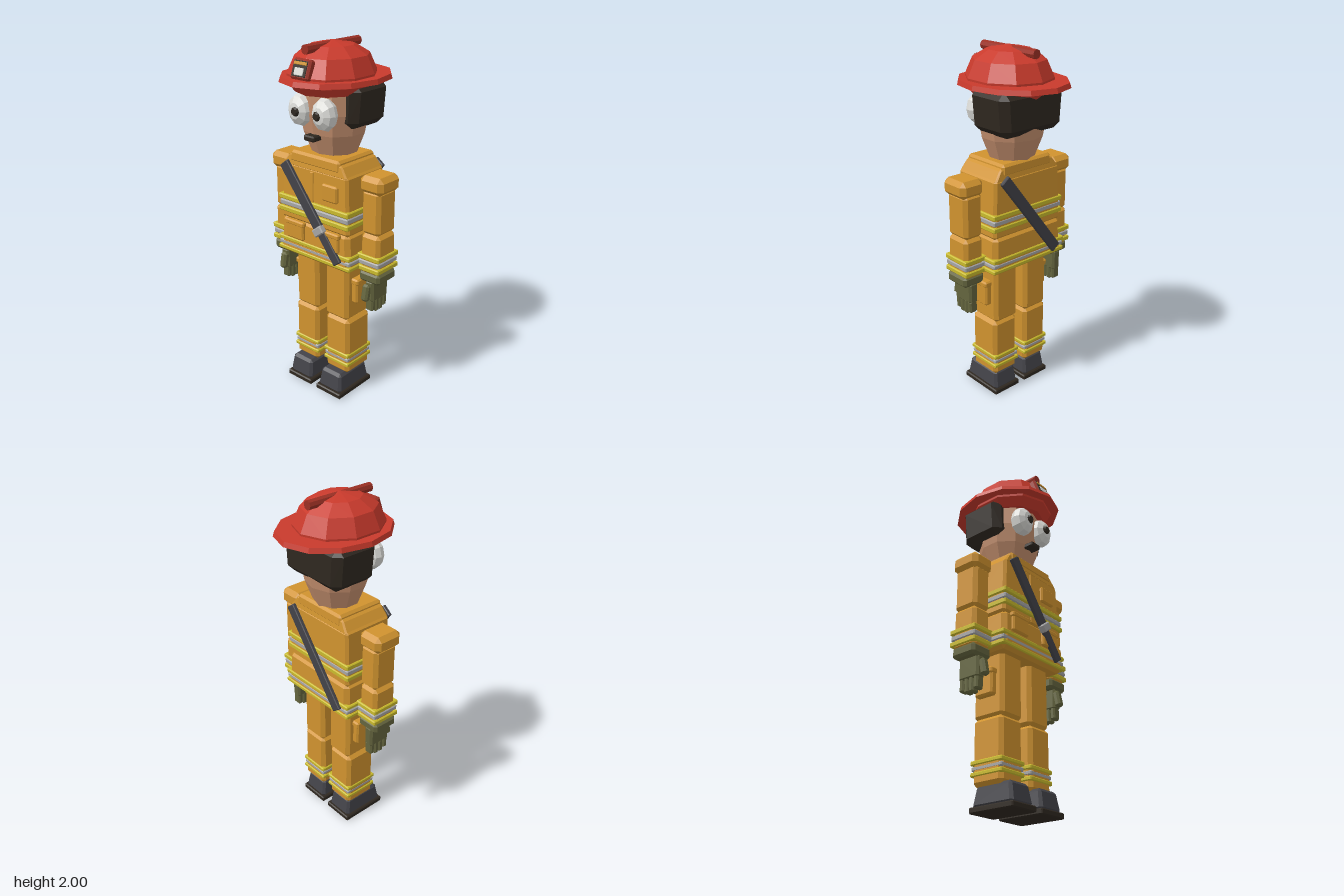
import * as THREE from 'three';
import { ConvexGeometry } from 'three/addons/geometries/ConvexGeometry.js';

const mat = (name, color) => {
  const m = new THREE.MeshStandardMaterial({ color });
  m.name = name;
  return m;
};

export function createModel() {
  const red = mat('helmet red', 0xc93a2c), darkRed = mat('dark red', 0x9c3024);
  const coat = mat('coat orange', 0xd0932f), yellow = mat('reflective yellow', 0xc9ba2c);
  const silver = mat('silver', 0xa6a6a6), glove = mat('glove green', 0x64653e);
  const slate = mat('slate', 0x434349), dark = mat('dark brown', 0x2f2820);
  const skin = mat('skin', 0xc48f6e), white = mat('eye white', 0xdcdcd8);

  const root = new THREE.Group();
  root.name = 'firefighter';

  const add = (name, geo, material, parent = root) => {
    const m = new THREE.Mesh(geo, material);
    m.name = name;
    parent.add(m);
    return m;
  };
  // Faceted normals stored in the geometry
  const flat = (geo) => {
    const g = geo.index ? geo.toNonIndexed() : geo;
    g.computeVertexNormals();
    return g;
  };
  // Chamfered box centred on the origin; tx and tz scale its top
  const chamferBox = (w, h, d, c, tx = 1, tz = 1) => {
    const pts = [];
    for (const x of [-1, 1]) for (const y of [-1, 1]) for (const z of [-1, 1]) {
      for (const [a, b, e] of [[0, c, c], [c, 0, c], [c, c, 0]]) {
        const py = y * (h / 2 - b), t = py / h + 0.5;
        pts.push(new THREE.Vector3(
          x * (w / 2 - a) * (1 + (tx - 1) * t), py, z * (d / 2 - e) * (1 + (tz - 1) * t)));
      }
    }
    return new ConvexGeometry(pts);
  };
  // Box from its bounds
  const box = (name, m, [x0, x1, y0, y1, z0, z1], c = 0.01, tx = 1, tz = 1, parent = root) => {
    const mesh = add(name, chamferBox(Math.abs(x1 - x0), y1 - y0, z1 - z0, c, tx, tz), m, parent);
    mesh.position.set((x0 + x1) / 2, (y0 + y1) / 2, (z0 + z1) / 2);
    return mesh;
  };
  // Yellow, silver, yellow bands around a part
  const bands = (name, x0, x1, y0, y1, z0, z1) => {
    const h = (y1 - y0) / 3;
    [yellow, silver, yellow].forEach((m, i) => {
      const k = i === 1 ? 0.004 : 0;
      box(name, m, [x0 + k, x1 - k, y0 + h * i + 0.003, y0 + h * (i + 1) - 0.003, z0 + k, z1 - k], 0.005);
    });
  };

  // Coat
  box('coatSkirt', coat, [-0.255, 0.255, 0.81, 1.035, -0.135, 0.195], 0.025, 0.95, 0.96);
  box('chest', coat, [-0.245, 0.245, 1.02, 1.35, -0.125, 0.187], 0.015, 0.94, 0.97);
  box('yoke', coat, [-0.232, 0.232, 1.33, 1.4, -0.12, 0.183], 0.01, 0.78, 0.92);
  box('collar', coat, [-0.178, 0.178, 1.355, 1.42, -0.118, 0.182], 0.013, 0.96, 0.97);
  box('frontFlap', coat, [-0.022, 0.002, 1.03, 1.33, 0.17, 0.19], 0.003);
  box('chestPocket', coat, [0.068, 0.175, 1.195, 1.288, 0.175, 0.2], 0.008);
  for (const s of [-1, 1]) {
    box('skirtPocket', coat, [s * 0.062, s * 0.19, 0.92, 1.015, 0.18, 0.208], 0.008);
    box('pocketFlap', coat, [s * 0.056, s * 0.196, 1.0, 1.03, 0.18, 0.212], 0.007);
  }
  bands('chestBand', -0.25, 0.25, 1.06, 1.165, -0.13, 0.2);
  bands('skirtBand', -0.262, 0.262, 0.825, 0.915, -0.14, 0.198);

  // Straps crossing the front and the back
  for (const [name, z, r] of [['frontStrap', 0.207, 0.66], ['backStrap', -0.145, -0.66]]) {
    const strap = new THREE.Group();
    strap.name = name;
    strap.position.set(0, 1.108, z);
    strap.rotation.z = r;
    root.add(strap);
    if (z > 0) {
      box('strapUpper', slate, [-0.033, 0.033, -0.12, 0.31, -0.011, 0.011], 0.004, 1, 1, strap);
      box('strapLower', slate, [-0.028, 0.028, -0.31, -0.11, -0.011, 0.009], 0.004, 1, 1, strap);
      box('buckle', silver, [-0.036, 0.036, -0.13, -0.085, -0.011, 0.026], 0.006, 1, 1, strap);
    } else {
      box('strapBand', slate, [-0.031, 0.031, -0.31, 0.31, -0.011, 0.011], 0.004, 1, 1, strap);
    }
  }

  for (const s of [-1, 1]) {
    // Arm
    box('shoulder', coat, [s * 0.247, s * 0.397, 1.26, 1.355, -0.058, 0.115], 0.025);
    box('upperArm', coat, [s * 0.258, s * 0.378, 1.03, 1.28, -0.05, 0.102], 0.02);
    box('forearm', coat, [s * 0.255, s * 0.383, 0.8, 1.035, -0.052, 0.106], 0.02, 0.96, 0.96);
    bands('sleeveBand', Math.min(s * 0.245, s * 0.392), Math.max(s * 0.245, s * 0.392), 0.82, 0.922, -0.06, 0.115);
    // Gloved hand
    box('gloveCuff', glove, [s * 0.252, s * 0.39, 0.755, 0.818, -0.047, 0.108], 0.015);
    box('palm', glove, [s * 0.289, s * 0.347, 0.64, 0.765, -0.036, 0.1], 0.012);
    for (let i = 0; i < 4; i++) {
      const z = -0.032 + i * 0.032, y = i % 3 ? 0.57 : 0.582;
      box('finger', glove, [s * 0.293, s * 0.343, y, 0.655, z, z + 0.031], 0.008);
    }
    const thumb = box('thumb', glove, [s * 0.288, s * 0.332, 0.65, 0.745, 0.09, 0.13], 0.011);
    thumb.rotation.x = -0.2;

    // Leg
    box('thigh', coat, [s * 0.027, s * 0.193, 0.475, 0.84, -0.07, 0.132], 0.02);
    box('shin', coat, [s * 0.03, s * 0.2, 0.13, 0.48, -0.066, 0.132], 0.02);
    box('legPocket', coat, [s * 0.185, s * 0.23, 0.585, 0.715, -0.03, 0.09], 0.01);
    box('legPocketFlap', coat, [s * 0.185, s * 0.236, 0.7, 0.735, -0.034, 0.094], 0.008);
    bands('legBand', Math.min(s * 0.023, s * 0.205), Math.max(s * 0.023, s * 0.205), 0.178, 0.266, -0.073, 0.137);
    // Boot
    box('boot', slate, [s * 0.028, s * 0.198, 0.025, 0.14, -0.07, 0.198], 0.016, 0.84, 0.84);
    box('sole', dark, [s * 0.02, s * 0.205, 0, 0.032, -0.077, 0.207], 0.006);
  }

  // Head and hair
  const headProfile = [[0, 1.39], [0.125, 1.41], [0.172, 1.53], [0.192, 1.64], [0.192, 1.8], [0, 1.82]]
    .map(([r, y]) => new THREE.Vector2(r, y));
  const head = add('head', flat(new THREE.LatheGeometry(headProfile, 10)), skin);
  head.scale.z = 0.96;
  head.position.z = 0.012;
  box('hair', dark, [-0.205, 0.205, 1.565, 1.805, -0.175, 0.105], 0.04, 1.1, 1);
  box('mouth', dark, [-0.037, 0.037, 1.505, 1.535, 0.14, 0.219], 0.007);

  // Eyes, with sphere poles turned forward
  for (const s of [-1, 1]) {
    const eye = add('eye', flat(new THREE.SphereGeometry(1, 10, 6).rotateX(Math.PI / 2)), white);
    eye.scale.set(0.073, 0.088, 0.058);
    eye.position.set(s * 0.083, 1.653, 0.182);
    const pupil = add('pupil', flat(new THREE.CylinderGeometry(0.018, 0.028, 0.014, 8).rotateX(Math.PI / 2)), dark);
    pupil.position.set(s * 0.075, 1.652, 0.239);
  }

  // Helmet
  const brim = add('helmetBrim', flat(new THREE.CylinderGeometry(0.27, 0.277, 0.026, 12)), red);
  brim.scale.z = 1.18;
  brim.position.y = 1.816;
  const domeProfile = [[0, 1.745], [0.185, 1.745], [0.222, 1.79], [0.226, 1.84], [0.187, 1.93], [0.112, 1.978], [0, 2]]
    .map(([r, y]) => new THREE.Vector2(r, y));
  const dome = add('helmetDome', flat(new THREE.LatheGeometry(domeProfile, 10)), red);
  dome.scale.z = 1.1;
  dome.position.z = 0.03;
  const crest = add('helmetCrest', flat(new THREE.CylinderGeometry(0.025, 0.025, 0.408, 8).rotateX(Math.PI / 2)), darkRed);
  crest.position.set(0, 1.973, 0.03);

  // Tilted helmet badge
  const badge = new THREE.Group();
  badge.name = 'badge';
  badge.position.set(0, 1.881, 0.257);
  badge.rotation.x = -0.35;
  root.add(badge);
  box('badgeFrame', darkRed, [-0.06, 0.06, -0.053, 0.053, -0.03, 0.014], 0.01, 1, 1, badge);
  box('badgePanel', dark, [-0.046, 0.046, -0.04, 0.04, 0.011, 0.017], 0.001, 1, 1, badge);
  box('badgeStripe', coat, [-0.043, 0.043, 0.018, 0.034, 0.014, 0.021], 0.002, 1, 1, badge);
  box('badgePlate', white, [-0.03, 0.03, -0.034, 0.004, 0.014, 0.021], 0.002, 1, 1, badge);

  return root;
}
